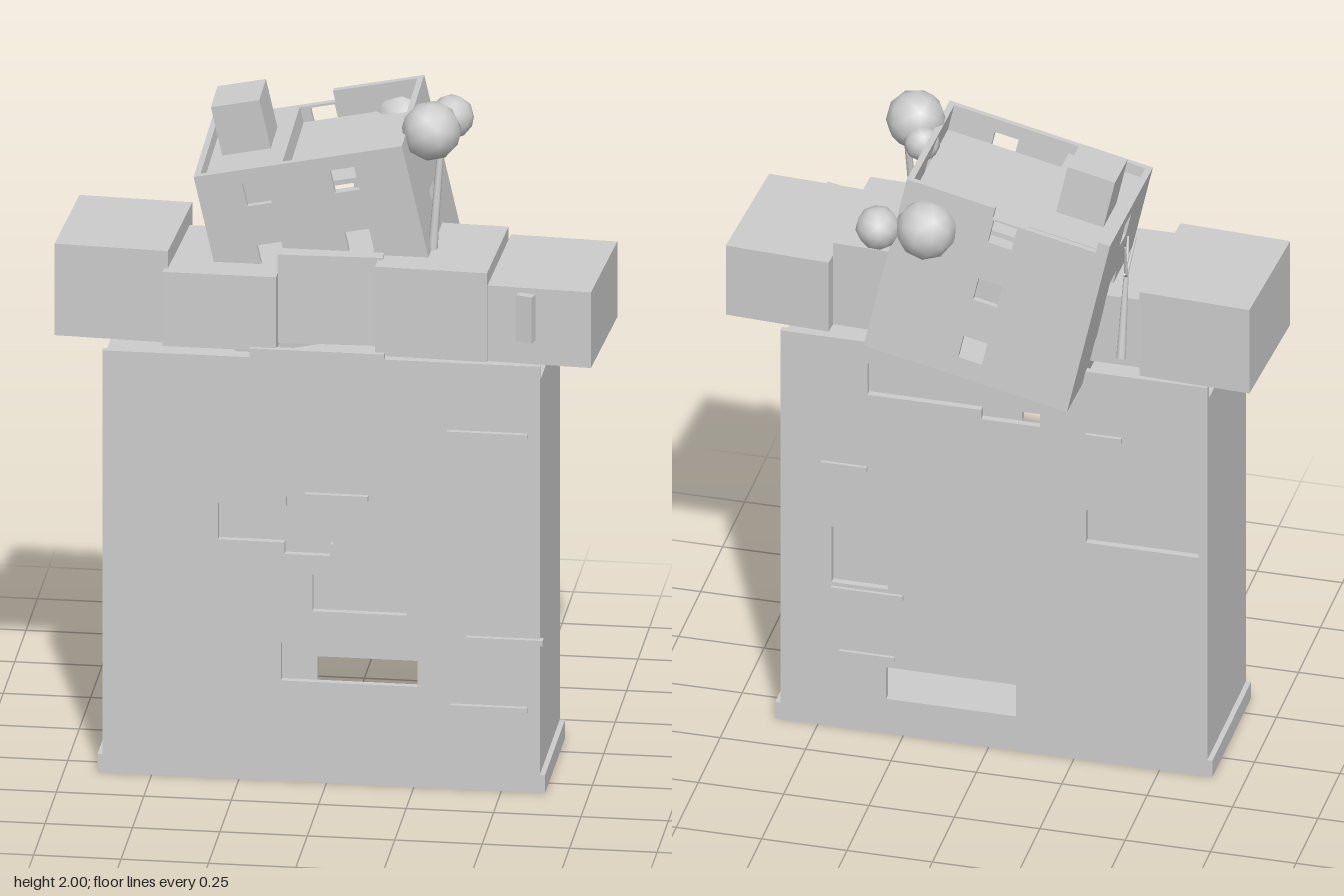
import * as THREE from 'three';
import { mergeVertices } from 'three/addons/utils/BufferGeometryUtils.js';

const stone = new THREE.MeshStandardMaterial({ color: 0xcccccc });
stone.name = 'pale grey';

function add(parent, name, geometry, x = 0, y = 0, z = 0) {
  const mesh = new THREE.Mesh(geometry, stone);
  mesh.name = name;
  mesh.position.set(x, y, z);
  parent.add(mesh);
  return mesh;
}

// Box given by its lower and upper corners
function box(parent, name, [x0, y0, z0], [x1, y1, z1]) {
  return add(parent, name, new THREE.BoxGeometry(x1 - x0, y1 - y0, z1 - z0),
    (x0 + x1) / 2, (y0 + y1) / 2, (z0 + z1) / 2);
}

const rect = (x0, y0, x1, y1) => [[x0, y0], [x1, y0], [x1, y1], [x0, y1]];
const square = (x, y, s) => rect(x - s, y - s, x + s, y + s);
const toPoints = (list) => list.map(([x, y]) => new THREE.Vector2(x, y));

// Flat wall with cut openings, thickness running along +z
function wall(outline, holes, thickness) {
  const shape = new THREE.Shape(toPoints(outline));
  holes.forEach((h) => shape.holes.push(new THREE.Path(toPoints(h))));
  return new THREE.ExtrudeGeometry(shape, { depth: thickness, bevelEnabled: false });
}

// Tapered rod between two points
function rod(parent, name, from, to, r0, r1 = r0) {
  const a = new THREE.Vector3(...from), b = new THREE.Vector3(...to);
  const mesh = add(parent, name, new THREE.CylinderGeometry(r1, r0, a.distanceTo(b), 8));
  mesh.position.copy(a).lerp(b, 0.5);
  mesh.quaternion.setFromUnitVectors(new THREE.Vector3(0, 1, 0), b.sub(a).normalize());
}

function foliage(parent, x, y, z, r, turn) {
  const g = new THREE.IcosahedronGeometry(r, 1);
  g.deleteAttribute('normal');
  g.deleteAttribute('uv');
  const smooth = mergeVertices(g, 1e-4);
  smooth.computeVertexNormals();
  add(parent, 'foliage', smooth, x, y, z).rotation.set(turn, turn * 2, 0);
}

// Hollow tower with pierced front and back
function buildTower() {
  const g = new THREE.Group();
  g.name = 'tower';
  const t = 0.02;
  const front = [[-0.64, 0], [0.61, 0], [0.61, 1.295], [0.165, 1.295], [0.165, 1.31],
    [-0.22, 1.31], [-0.22, 1.283], [-0.64, 1.283]];
  const frontHoles = [
    [[-0.31, 0.725], [-0.12, 0.725], [-0.12, 0.69], [0.01, 0.69], [0.01, 0.725], [0.02, 0.725],
      [0.02, 0.835], [0.01, 0.835], [0.01, 0.865], [-0.115, 0.865], [-0.115, 0.835], [-0.31, 0.835]],
    rect(-0.04, 0.52, 0.23, 0.63),
    rect(-0.13, 0.305, 0.26, 0.42),
  ];
  add(g, 'frontWall', wall(front, frontHoles, t), 0, 0, 0.31);
  const backHoles = [
    rect(0.295, 0.48, 0.46, 0.665),
    rect(-0.615, 0.725, -0.285, 0.835),
    rect(-0.08, 0.115, 0.3, 0.22),
    [[-0.15, 1.09], [0.022, 1.09], [0.022, 1.12], [0.355, 1.12], [0.355, 1.225], [-0.15, 1.225]],
  ];
  add(g, 'backWall', wall(rect(-0.64, 0, 0.61, 1.295), backHoles, t), 0, 0, -0.11);
  box(g, 'rightWall', [-0.64, 0, -0.09], [-0.62, 1.25, 0.31]);
  box(g, 'leftWall', [0.59, 0, -0.09], [0.61, 1.25, 0.31]);
  box(g, 'bottom', [-0.62, 0, -0.09], [0.59, 0.02, 0.31]);
  box(g, 'deck', [-0.62, 1.235, -0.09], [0.59, 1.25, 0.31]);
  box(g, 'rightPlinth', [-0.655, 0, -0.11], [-0.64, 0.055, 0.33]);
  box(g, 'leftPlinth', [0.61, 0, -0.11], [0.625, 0.055, 0.33]);

  // Thin ledges on both faces
  [[0.345, 0.575, 1.083], [-0.06, 0.12, 0.873], [0.4, 0.62, 0.46], [0.355, 0.575, 0.252]]
    .forEach(([a, b, y]) => box(g, 'frontLedge', [a, y - 0.008, 0.32], [b, y + 0.008, 0.345]));
  [[-0.39, -0.285, 1.083], [0.355, 0.49, 0.873], [0.25, 0.46, 0.46], [0.275, 0.435, 0.252]]
    .forEach(([a, b, y]) => box(g, 'backLedge', [a, y - 0.008, -0.12], [b, y + 0.008, -0.1]));
  return g;
}

// Slightly twisted blocks lying across the tower top
function buildBlocks() {
  const g = new THREE.Group();
  g.name = 'topBlocks';
  // centre x, centre z, width, depth, bottom, top, twist
  [[-0.612, 0.086, 0.326, 0.39, 1.3, 1.578, -0.05],
    [-0.308, 0.13, 0.325, 0.375, 1.3, 1.525, 0],
    [-0.004, 0.1, 0.3, 0.34, 1.31, 1.578, 0.04],
    [0.304, 0.133, 0.322, 0.373, 1.3, 1.57, -0.035],
    [0.615, 0.121, 0.306, 0.407, 1.3, 1.53, -0.055],
  ].forEach(([x, z, w, d, y0, y1, twist]) => {
    add(g, 'block', new THREE.BoxGeometry(w, y1 - y0, d), x, (y0 + y1) / 2, z).rotation.y = twist;
  });
  add(g, 'upright', new THREE.BoxGeometry(0.05, 0.14, 0.025), 0.57, 1.445, 0.338).rotation.y = -0.3;
  return g;
}

// Leaning roofless house, built around its own centre
function buildHouse() {
  const g = new THREE.Group();
  g.name = 'house';
  const w = 0.305, h = 0.2825, d = 0.245, t = 0.018, s = 0.036;
  const rows = [0.205, 0.01, -0.185];
  const frontHoles = rows.flatMap((y) => [square(-0.137, y, s), square(0.12, y, s)]);
  add(g, 'houseFront', wall(rect(-w, -h, w, h), frontHoles, t), 0, 0, d - t);
  const back = [[-w, -h], [w, -h], [w, h], [0.04, h], [0.04, h - 0.035],
    [-0.27, h - 0.035], [-0.27, h], [-w, h]];
  add(g, 'houseBack', wall(back, rows.map((y) => square(0, y, s)), t), 0, 0, -d);
  [w - t, -w].forEach((x) => {
    const side = wall(rect(-d + t, -h, d - t, h), rows.map((y) => square(0, y, s)), t);
    add(g, 'houseSide', side, x).rotation.y = Math.PI / 2;
    // The turned wall grows toward +x from its position
  });
  const inner = d - t;
  box(g, 'houseFloor', [-w + t, -h + 0.005, -inner], [w - t, -h + 0.02, inner]);
  box(g, 'upperRoof', [-w + t, 0.235, -inner], [-0.064, 0.25, inner]);
  box(g, 'roofStep', [-0.079, 0.2, -inner], [-0.064, 0.235, inner]);
  box(g, 'lowerRoof', [-0.079, 0.185, -inner], [w - t, 0.2, inner]);
  box(g, 'chimney', [-0.255, 0.24, -0.102], [-0.113, 0.402, 0.043]);
  g.position.set(-0.035, 1.588, -0.022);
  g.rotation.set(0.06, 0, 0.21);
  return g;
}

function buildTrees() {
  const g = new THREE.Group();
  g.name = 'trees';
  rod(g, 'frontTrunk', [0.28, 1.55, 0.155], [0.3, 1.88, 0.115], 0.014, 0.009);
  foliage(g, 0.272, 1.915, 0.118, 0.086, 0.2);
  foliage(g, 0.235, 1.885, 0.045, 0.052, 0.9);
  rod(g, 'backTrunk', [0.2, 1.37, -0.13], [0.2, 1.78, -0.275], 0.017, 0.01);
  foliage(g, 0.142, 1.8, -0.27, 0.088, 0.5);
  foliage(g, 0.277, 1.8, -0.295, 0.064, 1.1);
  // Bare sapling beside the house
  rod(g, 'saplingTrunk', [-0.385, 1.35, -0.1], [-0.385, 1.6, -0.04], 0.014, 0.007);
  [[-0.39, 1.7, -0.07], [-0.4, 1.69, 0.01], [-0.37, 1.67, 0.04], [-0.395, 1.63, -0.1]]
    .forEach((tip) => rod(g, 'saplingBranch', [-0.385, 1.59, -0.042], tip, 0.006, 0.003));
  return g;
}

export function createModel() {
  const model = new THREE.Group();
  model.name = 'ruinedTower';
  model.add(buildTower(), buildBlocks(), buildHouse(), buildTrees());
  return model;
}
